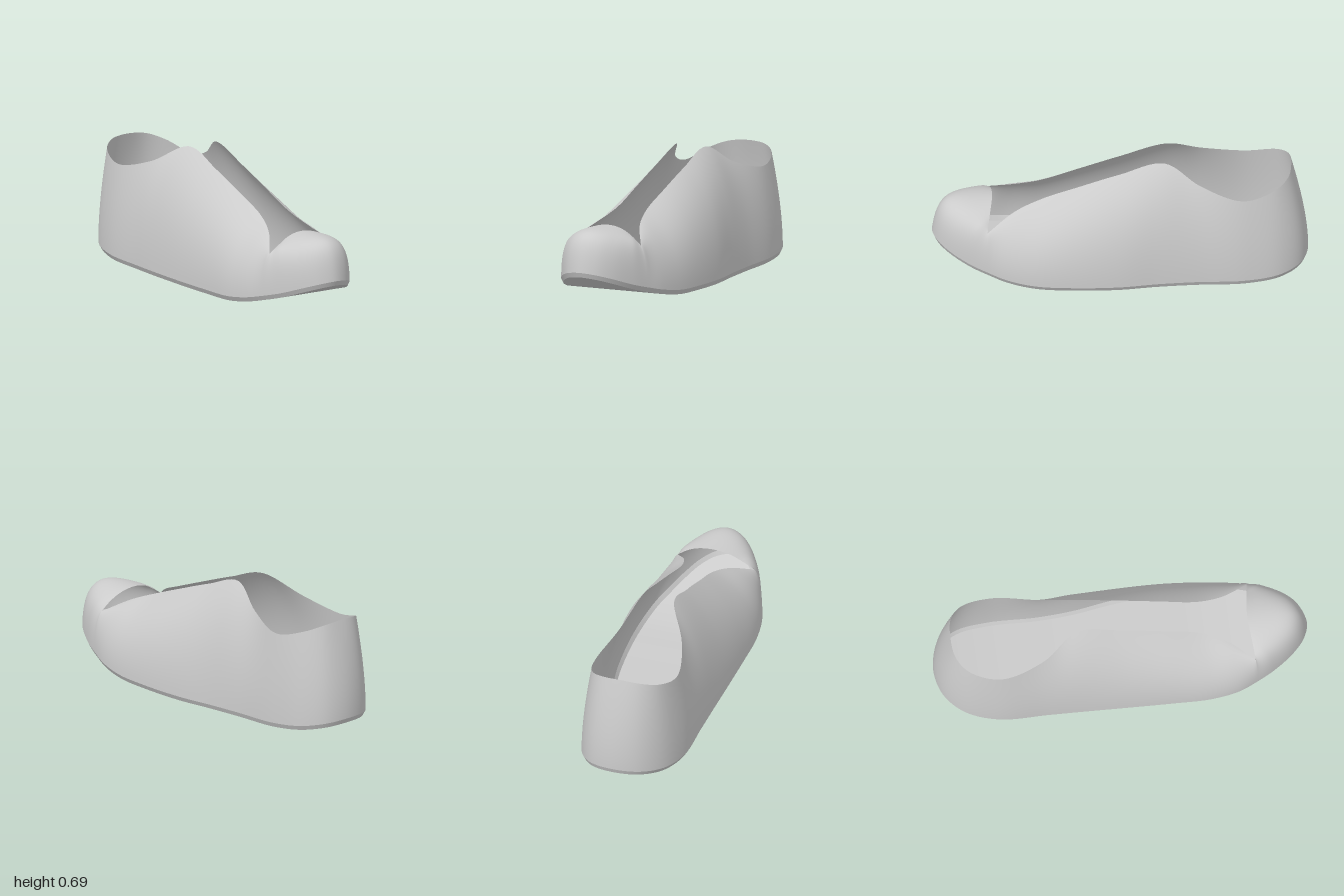
import * as THREE from 'three';

// Stations from heel (0) to toe (14), corner of the opening at 10.
// base: left x, right x, y, z; rim: left x, right x, y, z
const STATIONS = [
  [0, 0, 0.07, -1, -0.02, -0.02, 0.615, -0.91],
  [-0.14, 0.13, 0.06, -0.965, -0.13, 0.09, 0.605, -0.895],
  [-0.245, 0.215, 0.04, -0.86, -0.21, 0.165, 0.575, -0.83],
  [-0.302, 0.25, 0.02, -0.68, -0.255, 0.207, 0.53, -0.66],
  [-0.303, 0.252, 0.008, -0.42, -0.2, 0.15, 0.585, -0.43],
  [-0.305, 0.268, 0.004, -0.22, -0.092, 0.09, 0.688, -0.24],
  [-0.31, 0.303, 0.004, 0, -0.083, 0.087, 0.61, 0],
  [-0.316, 0.32, 0.008, 0.25, -0.083, 0.087, 0.525, 0.22],
  [-0.318, 0.315, 0.014, 0.45, -0.087, 0.09, 0.445, 0.42],
  [-0.3, 0.29, 0.035, 0.6, -0.13, 0.125, 0.385, 0.56],
  [-0.265, 0.255, 0.058, 0.7, -0.222, 0.208, 0.303, 0.7],
  [-0.22, 0.215, 0.085, 0.8, -0.15, 0.15, 0.348, 0.693],
  [-0.15, 0.15, 0.125, 0.91, -0.1, 0.1, 0.375, 0.687],
  [-0.08, 0.08, 0.15, 0.975, -0.05, 0.05, 0.39, 0.682],
  [0, 0, 0.16, 1, 0, 0, 0.395, 0.68],
];
const TOE = 14, CORNER = 10, COUNT = 28;

// Wall fullness: station, then height and inset of the two inner curve handles
const FULLNESS = [
  [0, 0.33, 0, 0.7, 0.5],
  [3, 0.35, 0.02, 0.7, 0.5],
  [5, 0.5, 0.05, 0.8, 0.45],
  [8, 0.54, 0.03, 0.82, 0.5],
  [10, 0.5, 0, 0.9, 0.4],
  [11, 0.75, 0, 1, 0.3],
  [14, 1.15, 0.1, 1, 0.3],
];

// Ring index: 0 heel, up the right-hand (+x) column to 14 toe, back down the other side
function ringPoint(i, col) {
  const k = (i + COUNT) % COUNT;
  const row = STATIONS[k <= TOE ? k : COUNT - k];
  return new THREE.Vector3(row[col + (k <= TOE ? 1 : 0)], row[col + 2], row[col + 3]);
}
function curveThrough(from, to, col, closed = false) {
  const pts = [];
  for (let i = from; i <= to; i++) pts.push(ringPoint(i, col));
  return new THREE.CatmullRomCurve3(pts, closed);
}
const baseCurve = curveThrough(0, COUNT - 1, 0, true);
const openingCurve = curveThrough(-CORNER, CORNER, 4);
const toeEdgeCurve = curveThrough(CORNER, COUNT - CORNER, 4);

function rimAt(u) {
  if (u >= CORNER && u <= COUNT - CORNER) {
    return toeEdgeCurve.getPoint((u - CORNER) / (COUNT - 2 * CORNER));
  }
  const v = u > TOE ? u - COUNT : u;
  return openingCurve.getPoint((v + CORNER) / (2 * CORNER));
}

function fullnessAt(u) {
  const s = Math.min(u, COUNT - u);
  let k = 0;
  while (k < FULLNESS.length - 2 && s > FULLNESS[k + 1][0]) k++;
  const a = FULLNESS[k], b = FULLNESS[k + 1];
  const t = THREE.MathUtils.smoothstep(s, a[0], b[0]);
  return a.map((v, i) => THREE.MathUtils.lerp(v, b[i], t));
}

// Point of the sole edge and of the wall foot just above it
const soleEdge = (u) => {
  const p = baseCurve.getPoint((u % COUNT) / COUNT);
  return new THREE.Vector3(p.x * 0.955, Math.max(0, p.y - 0.004), p.z * 0.99);
};
const wallFoot = (u) => {
  const p = baseCurve.getPoint((u % COUNT) / COUNT);
  p.y += 0.022;
  return p;
};

// Wall curve from foot to rim
function wallCurve(u) {
  const foot = wallFoot(u), rim = rimAt(u);
  const [, h1, in1, h2, in2] = fullnessAt(u);
  const handle = (h, inset) => {
    const p = foot.clone().lerp(rim, inset);
    p.y = foot.y + (rim.y - foot.y) * h;
    return p;
  };
  return new THREE.CubicBezierCurve3(foot, handle(h1, in1), handle(h2, in2), rim);
}

// Smooth surface through rows of points; closed rows share their first column
function loft(columns, closed) {
  const n = columns.length, m = columns[0].length, index = [];
  for (let i = 0; i < (closed ? n : n - 1); i++) {
    for (let j = 0; j < m - 1; j++) {
      const a = i * m + j, c = ((i + 1) % n) * m + j;
      index.push(a, a + 1, c, c, a + 1, c + 1);
    }
  }
  const geometry = new THREE.BufferGeometry().setFromPoints(columns.flat());
  geometry.setIndex(index);
  geometry.computeVertexNormals();
  return geometry;
}

export function createModel() {
  const group = new THREE.Group();
  const material = new THREE.MeshStandardMaterial({ color: 0xcccccc, side: THREE.DoubleSide });
  const add = (name, geometry) => {
    const mesh = new THREE.Mesh(geometry, material);
    mesh.name = name;
    group.add(mesh);
  };

  const STEPS = 8, ring = [];
  for (let i = 0; i < COUNT * STEPS; i++) ring.push(i / STEPS);

  // Upper: side walls, heel and toe cap in one skin
  add('upper', loft(ring.map((u) => wallCurve(u).getPoints(28)), true));

  // Narrow bevel between sole and upper
  add('soleBevel', loft(ring.map((u) => [soleEdge(u), wallFoot(u)]), true));

  // Sole: strips across, from heel to toe, facing down
  const across = ring.filter((u) => u <= TOE)
    .map((u) => [soleEdge(COUNT - u), soleEdge(u)]);
  add('sole', loft(across, false));

  return group;
}
